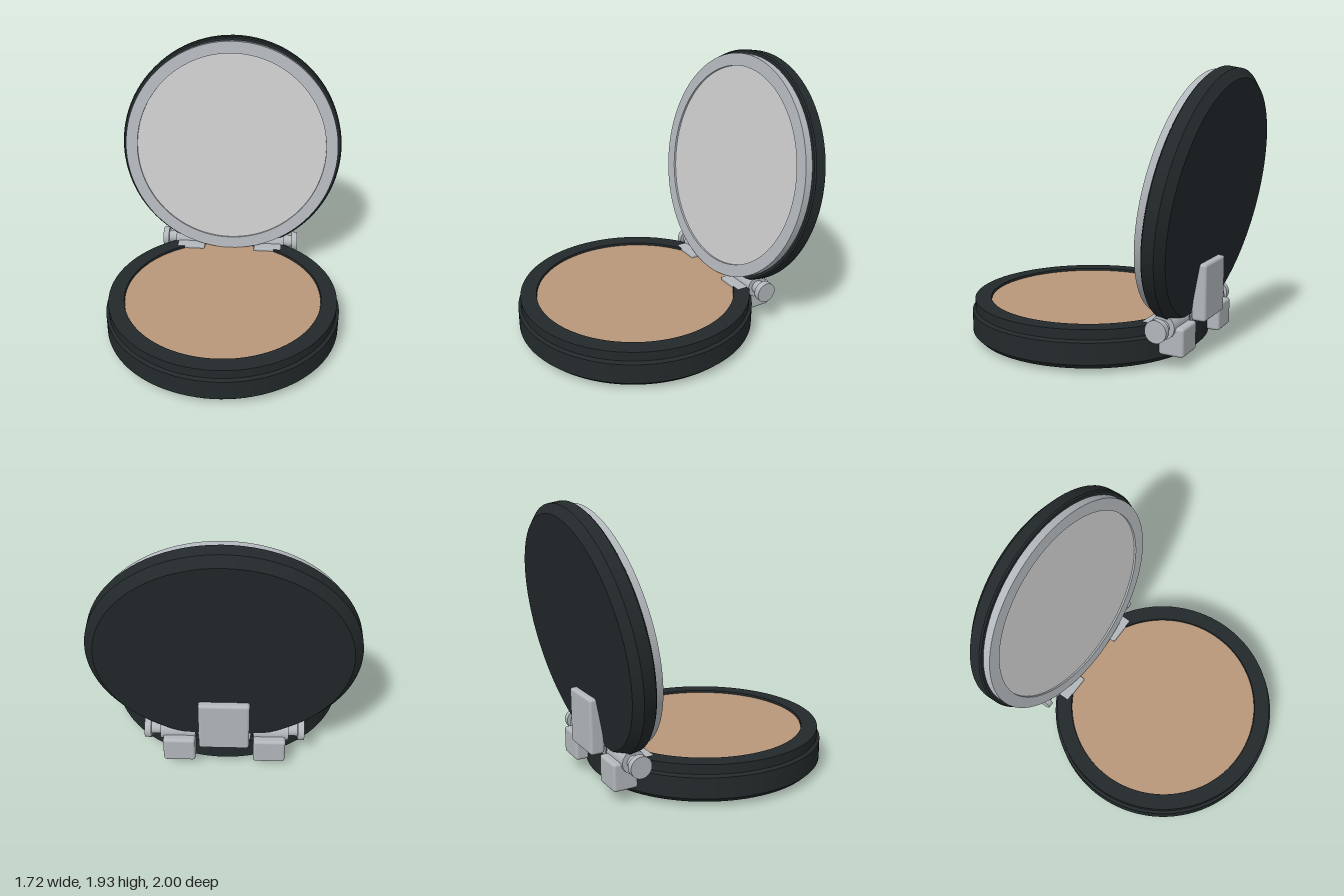
import * as THREE from 'three';
import { toCreasedNormals } from 'three/addons/utils/BufferGeometryUtils.js';
import { RoundedBoxGeometry } from 'three/addons/geometries/RoundedBoxGeometry.js';

const material = (color) => new THREE.MeshStandardMaterial({ color });
const dark = material(0x23292b);
const metal = material(0xb2b7bb);
const glass = material(0xcccccc);
const skin = material(0xb8977a);

function add(parent, name, geometry, mat, x = 0, y = 0, z = 0) {
  const mesh = new THREE.Mesh(geometry, mat);
  mesh.name = name;
  mesh.position.set(x, y, z);
  parent.add(mesh);
  return mesh;
}

// Turned part; profile runs bottom centre -> outside -> top
function turned(profile) {
  const points = profile.map(([r, y]) => new THREE.Vector2(r, y));
  return toCreasedNormals(new THREE.LatheGeometry(points, 96), 0.2);
}

const box = (w, h, d, r = 0.02) => new RoundedBoxGeometry(w, h, d, 3, r);

// Cylinder lying along x
function rod(radius, length, sides = 32) {
  return new THREE.CylinderGeometry(radius, radius, length, sides).rotateZ(Math.PI / 2);
}

export function createModel() {
  const model = new THREE.Group();
  model.name = 'compact';

  // Lower case with a recessed pan
  const base = new THREE.Group();
  base.name = 'base';
  base.position.z = 0.14;
  model.add(base);
  add(base, 'baseCase', turned([
    [0, 0], [0.7, 0], [0.825, 0.025], [0.86, 0.06], [0.86, 0.205],
    [0.84, 0.22], [0.84, 0.287], [0.725, 0.287], [0.725, 0.255], [0, 0.255],
  ]), dark);
  add(base, 'powder', turned([[0.722, 0.25], [0.722, 0.27], [0, 0.27]]), skin);

  // Open lid, leaning back 10 degrees; local y points out of the mirror
  const lid = new THREE.Group();
  lid.name = 'lid';
  lid.position.set(0, 1.08, -0.72);
  lid.rotation.x = THREE.MathUtils.degToRad(80);
  model.add(lid);
  add(lid, 'lidCase', turned([
    [0, -0.14], [0.805, -0.14], [0.86, -0.09], [0.86, -0.01], [0.85, 0], [0, 0],
  ]), dark);
  add(lid, 'mirrorFrame', turned([
    [0.83, -0.01], [0.83, 0.055], [0.74, 0.055], [0.74, 0.02],
  ]), metal);
  add(lid, 'mirror', turned([[0.742, 0.03], [0.742, 0.04], [0, 0.04]]), glass);

  // Hinge along x
  const hinge = new THREE.Group();
  hinge.name = 'hinge';
  hinge.position.set(0, 0.28, -0.65);
  model.add(hinge);
  add(hinge, 'pin', rod(0.048, 1.04), metal);
  add(hinge, 'centreBarrel', rod(0.08, 0.36), metal);
  add(hinge, 'lidLeaf', box(0.34, 0.39, 0.1), metal, 0, 0.175, -0.13);
  add(hinge, 'lidLeafWeb', box(0.32, 0.09, 0.12), metal, 0, 0.035, -0.07);
  for (const side of [-1, 1]) {
    const label = side > 0 ? 'left' : 'right';
    add(hinge, label + 'Barrel', rod(0.082, 0.24, 16), metal, side * 0.32);
    add(hinge, label + 'Knuckle', box(0.22, 0.195, 0.175), metal, side * 0.31, -0.0975, -0.047);
    add(hinge, label + 'BaseLeaf', box(0.22, 0.04, 0.2, 0.01), metal, side * 0.31, -0.008, 0.06);
    add(hinge, label + 'PinCap', rod(0.075, 0.045), metal, side * 0.5275);
  }
  return model;
}
